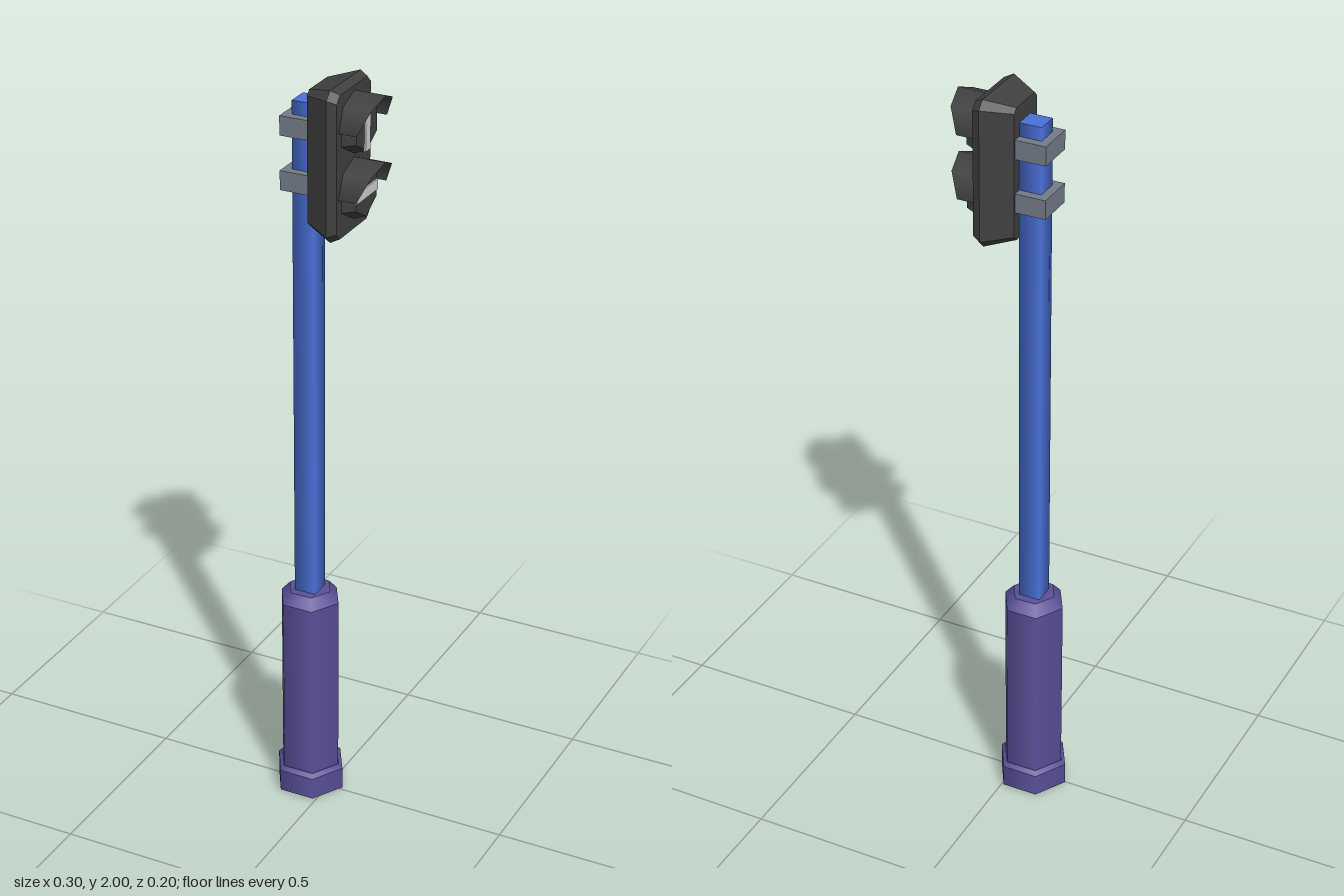
import * as THREE from 'three';
import { ConvexGeometry } from 'three/addons/geometries/ConvexGeometry.js';

const material = (name, color, side = THREE.FrontSide) => {
  const m = new THREE.MeshStandardMaterial({ color, side });
  m.name = name;
  return m;
};

export function createModel() {
  const root = new THREE.Group();
  root.name = 'pedestrianSignal';
  const purple = material('purple', 0x5a5098);
  const blue = material('blue', 0x4a70d8);
  const grey = material('grey', 0x737b86);
  const black = material('charcoal', 0x404040, THREE.DoubleSide);
  const white = material('pale grey', 0xd0d0d0);

  const add = (name, geometry, mat, x, y, z, parent = root) => {
    const mesh = new THREE.Mesh(geometry, mat);
    mesh.name = name;
    mesh.position.set(x, y, z);
    parent.add(mesh);
    return mesh;
  };
  const PX = -0.055, PZ = -0.005;

  // Hexagonal base, stacked from tapering sections with corners on the x axis
  const hexSection = (name, y0, y1, r0, r1) => {
    const g = new THREE.CylinderGeometry(r1, r0, y1 - y0, 6).rotateY(Math.PI / 6);
    add(name, g, purple, PX, (y0 + y1) / 2, PZ);
  };
  hexSection('baseCollar', 0.003, 0.064, 0.095, 0.095);
  hexSection('baseCollarBevel', 0.064, 0.075, 0.095, 0.084);
  hexSection('baseColumn', 0.07, 0.572, 0.0825, 0.0825);
  hexSection('baseColumnBevel', 0.572, 0.6, 0.0825, 0.058);

  // Square pole running from the ground through the base
  const pole = new THREE.CylinderGeometry(0.041, 0.041, 1.937, 4).rotateY(Math.PI / 4);
  add('pole', pole, blue, PX, 1.937 / 2, PZ);

  // Clamps that hold the signal head to the pole
  for (const y of [1.738, 1.877]) {
    add('clamp', new THREE.BoxGeometry(0.085, 0.05, 0.102), grey, -0.0635, y, PZ);
  }

  // Signal housing: chamfered rectangles from back to front
  const points = [];
  const sections = [
    [-0.026, 0.172, 0.059, 0.012],
    [0.045, 0.191, 0.1, 0.02],
    [0.067, 0.181, 0.09, 0.018],
  ];
  for (const [x, hy, hz, c] of sections) {
    for (const sy of [-1, 1]) for (const sz of [-1, 1]) {
      points.push(new THREE.Vector3(x, sy * (hy - c), sz * hz));
      points.push(new THREE.Vector3(x, sy * hy, sz * (hz - c)));
    }
  }
  add('signalHousing', new ConvexGeometry(points), black, 0, 1.809, -0.001);

  // Two hexagonal lamps, each with a symbol bar and a hood
  const lamp = (name, y, vertical) => {
    const group = new THREE.Group();
    group.name = name;
    group.position.set(0.066, y, -0.003);
    root.add(group);

    const lens = new THREE.CylinderGeometry(0.064, 0.077, 0.034, 6)
      .rotateY(Math.PI / 6).rotateZ(-Math.PI / 2).toNonIndexed();
    lens.computeVertexNormals();
    add('lens', lens, black, 0.017, 0, 0, group);

    const bar = vertical
      ? new THREE.BoxGeometry(0.006, 0.124, 0.026)
      : new THREE.BoxGeometry(0.006, 0.026, 0.112);
    add('symbolBar', bar, white, 0.035, 0, 0, group);

    // Half-round hood whose front edge slants back towards its sides
    const hood = new THREE.CylinderGeometry(0.082, 0.082, 1, 4, 1, true, Math.PI, Math.PI)
      .rotateZ(-Math.PI / 2);
    const p = hood.attributes.position;
    for (let i = 0; i < p.count; i++) {
      p.setX(i, p.getX(i) > 0 ? 0.047 + 0.45 * p.getY(i) : 0);
    }
    add('hood', hood, black, 0, 0, 0, group);
  };
  lamp('upperLamp', 1.897, true);
  lamp('lowerLamp', 1.73, false);

  return root;
}
